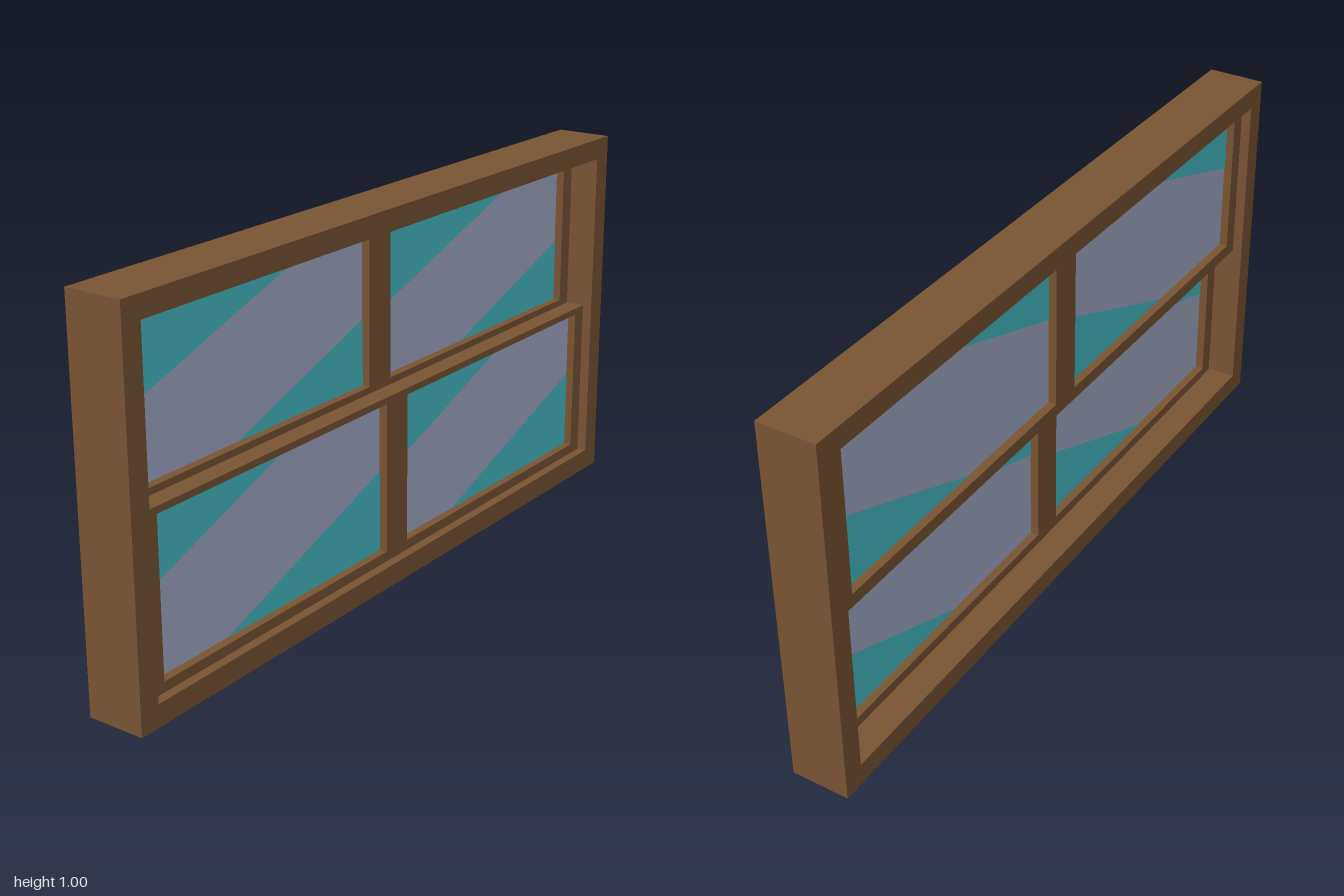
import * as THREE from 'three';

const mat = (name, color) => Object.assign(new THREE.MeshStandardMaterial({ color }), { name });

// Rectangle as corner points
const rect = (x0, y0, x1, y1) =>
  [[x0, y0], [x1, y0], [x1, y1], [x0, y1]].map(([x, y]) => new THREE.Vector2(x, y));

// Flat board with rectangular openings, from z0 to z1
function board(name, outer, holes, z0, z1, material) {
  const shape = new THREE.Shape(rect(...outer));
  holes.forEach(h => shape.holes.push(new THREE.Path(rect(...h).reverse())));
  const geo = new THREE.ExtrudeGeometry(shape, { depth: z1 - z0, bevelEnabled: false });
  geo.translate(0, 0, z0);
  const mesh = new THREE.Mesh(geo, material);
  mesh.name = name;
  return mesh;
}

// Thin coloured corner of a pane; w and h run inward from the corner
function corner(name, x, y, w, h, z, facing, material) {
  const pts = [[x, y], [x + w, y], [x, y + h]].map(p => new THREE.Vector2(...p));
  const geo = new THREE.ShapeGeometry(new THREE.Shape(pts));
  if (facing < 0) { // turn the face to the rear
    const index = Array.from(geo.index.array).reverse();
    geo.setIndex(index);
    const n = geo.attributes.normal;
    for (let i = 0; i < n.count; i++) n.setZ(i, -1);
  }
  geo.translate(0, 0, z);
  const mesh = new THREE.Mesh(geo, material);
  mesh.name = name;
  return mesh;
}

export function createModel() {
  const wood = mat('brown wood', 0x7a5533);
  const glass = mat('pale glass', 0xa6b0cb);
  const tint = mat('teal glass', 0x47c2cb);
  const model = new THREE.Group();
  model.name = 'slidingWindow';

  // Outer frame
  model.add(board('frame', [-1, 0, 1, 1], [[-0.943, 0.058, 0.943, 0.943]], -0.078, 0.078, wood));

  // Two sashes: the lower one sits in front of the upper one
  const sashes = [
    { name: 'upperSash', y0: 0.49, y1: 0.938, p0: 0.525, p1: 0.918, z0: -0.053, z1: -0.001,
      top: [0.61, 0.207], low: [0.49, 0.175] },
    { name: 'lowerSash', y0: 0.058, y1: 0.508, p0: 0.085, p1: 0.49, z0: 0.001, z1: 0.053,
      top: [0.48, 0.18], low: [0.61, 0.22] },
  ];
  for (const s of sashes) {
    const group = new THREE.Group();
    group.name = s.name;
    const panes = [[-0.895, -0.045], [0.045, 0.895]];
    const holes = panes.map(([a, b]) => [a, s.p0, b, s.p1]);
    group.add(board(s.name + 'Frame', [-0.938, s.y0, 0.938, s.y1], holes, s.z0, s.z1, wood));
    const zc = (s.z0 + s.z1) / 2, f = zc + 0.0045, r = zc - 0.0045;
    for (const [a, b] of panes) {
      group.add(board('pane', [a, s.p0, b, s.p1], [], zc - 0.003, zc + 0.003, glass));
      // Diagonal reflections on the front
      group.add(corner('frontTopTint', a, s.p1, s.top[0], -s.top[1], f, 1, tint));
      group.add(corner('frontLowTint', b, s.p0, -s.low[0], s.low[1], f, 1, tint));
      // Diagonal reflections on the rear
      group.add(corner('rearTopTint', a, s.p1, 0.45, -0.15, r, -1, tint));
      group.add(corner('rearLowTint', b, s.p0, -0.49, 0.2, r, -1, tint));
    }
    model.add(group);
  }
  return model;
}
